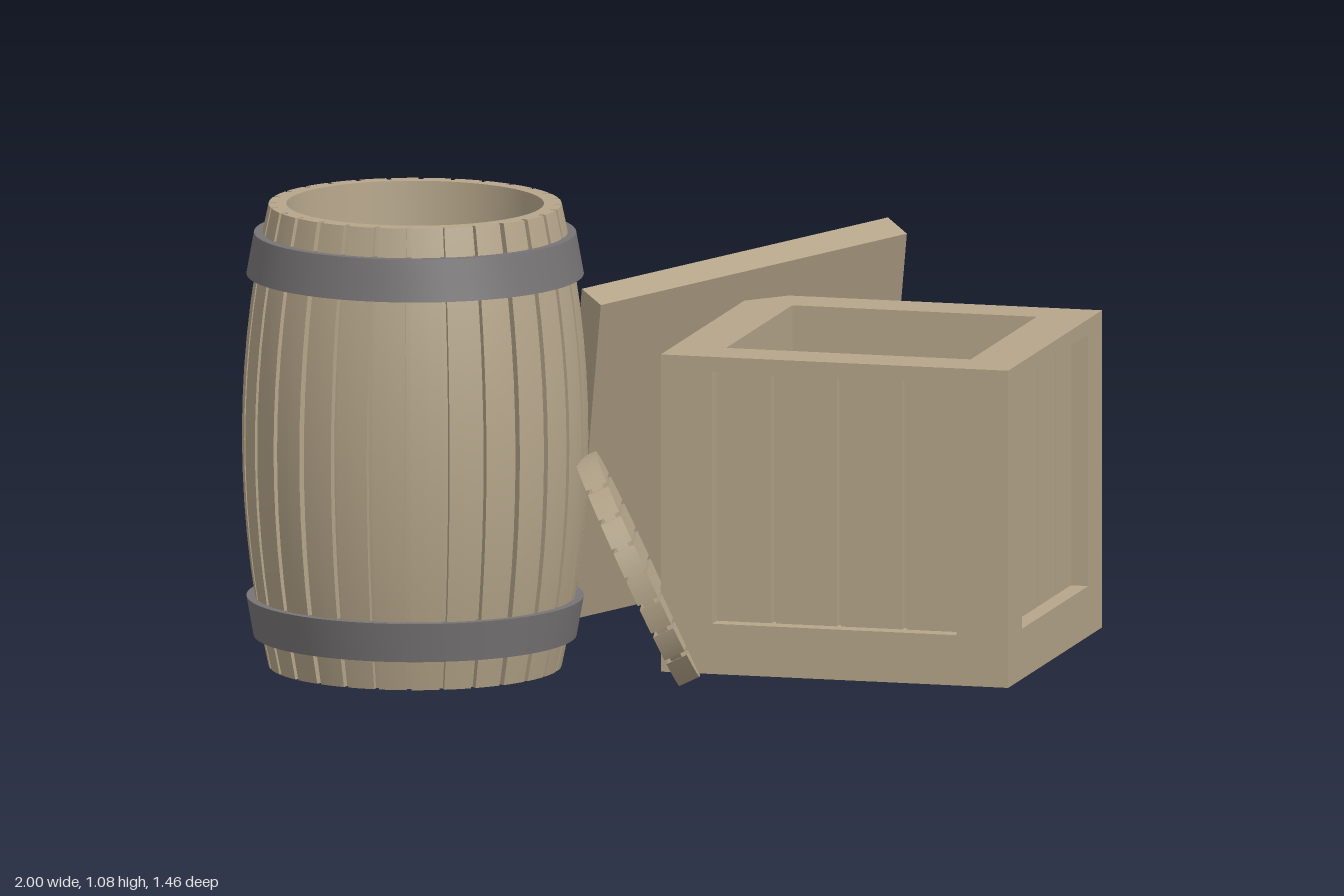
import * as THREE from 'three';
import { toCreasedNormals } from 'three/addons/utils/BufferGeometryUtils.js';

const wood = new THREE.MeshStandardMaterial({ color: 0xb5a58a });
wood.name = 'weathered wood';
const iron = new THREE.MeshStandardMaterial({ color: 0x777475 });
iron.name = 'grey iron';

function add(parent, name, geometry, material = wood, x = 0, y = 0, z = 0) {
  const mesh = new THREE.Mesh(geometry, material);
  mesh.name = name;
  mesh.position.set(x, y, z);
  parent.add(mesh);
  return mesh;
}

function box(parent, name, w, h, d, x, y, z) {
  return add(parent, name, new THREE.BoxGeometry(w, h, d), wood, x, y, z);
}

function part(parent, name) {
  const group = new THREE.Group();
  group.name = name;
  parent.add(group);
  return group;
}

// Closed lathe ring with sharp edges; points run anticlockwise in (radius, y)
function ring(points) {
  const profile = [...points, points[0]].map(([r, y]) => new THREE.Vector2(r, y));
  return toCreasedNormals(new THREE.LatheGeometry(profile, 84), 0.6);
}

// Orient a group by its own axes
function orient(group, xAxis, zAxis) {
  const z = new THREE.Vector3(...zAxis).normalize();
  const y = new THREE.Vector3().crossVectors(z, new THREE.Vector3(...xAxis)).normalize();
  const x = new THREE.Vector3().crossVectors(y, z);
  group.quaternion.setFromRotationMatrix(new THREE.Matrix4().makeBasis(x, y, z));
}

// ---- Barrel ----
const LOW = 0.03, HIGH = 1.085, MID = (LOW + HIGH) / 2, HALF = (HIGH - LOW) / 2;
const bulge = (y) => 0.39 - 0.06 * ((y - MID) / HALF) ** 2;

function buildBarrel(root) {
  const barrel = part(root, 'barrel');
  barrel.position.set(-0.608, 0, 0.193);

  // Inner wall, open through the middle
  const wall = [[0.24, LOW]];
  for (let i = 0; i <= 12; i++) {
    const y = LOW + (HIGH - LOW) * i / 12;
    wall.push([bulge(y) - 0.016, y]);
  }
  wall.push([0.29, HIGH]);
  add(barrel, 'barrelWall', ring(wall));

  // Staves: boxes bent round the bulging profile
  const count = 28, step = Math.PI * 2 / count;
  for (let i = 0; i < count; i++) {
    const g = new THREE.BoxGeometry(step - 0.035, HIGH - LOW, 0.025, 3, 14, 1);
    const p = g.attributes.position;
    for (let k = 0; k < p.count; k++) {
      const y = p.getY(k) + MID;
      const r = bulge(y) + p.getZ(k) - 0.0125;
      p.setXYZ(k, r * Math.sin(p.getX(k)), y, r * Math.cos(p.getX(k)));
    }
    g.computeVertexNormals();
    add(barrel, 'stave', g).rotation.y = (i + 0.5) * step;
  }

  // Iron hoops
  for (const [a, b] of [[0.1, 0.19], [0.925, 1.02]]) {
    add(barrel, 'hoop', ring([
      [bulge(a) - 0.01, a], [bulge(a) + 0.019, a],
      [bulge(b) + 0.019, b], [bulge(b) - 0.01, b],
    ]), iron);
  }
}

// ---- Round barrel lid, leaning on the crate ----
function buildBarrelLid(root) {
  const lid = part(root, 'barrelLid');
  lid.position.set(-0.133, 0.267, 0.378);
  orient(lid, [0.195, -0.117, -0.974], [0.9, 0.42, 0.13]);

  const R = 0.28, T = 0.05, planks = 8, w = 2 * R / planks;
  const core = new THREE.CylinderGeometry(R - 0.012, R - 0.012, T - 0.024, 48);
  core.rotateX(Math.PI / 2);
  add(lid, 'lidCore', core);

  for (let i = 0; i < planks; i++) {
    // Slice of the disc between two chords
    const y0 = -R + i * w + (i ? 0.005 : 0);
    const y1 = -R + (i + 1) * w - (i < planks - 1 ? 0.005 : 0);
    const a0 = Math.asin(y0 / R), a1 = Math.asin(y1 / R), pts = [];
    for (let k = 0; k <= 8; k++) {
      const a = a0 + (a1 - a0) * k / 8;
      pts.push(new THREE.Vector2(R * Math.cos(a), R * Math.sin(a)));
    }
    const left = pts.map((p) => new THREE.Vector2(-p.x, p.y)).reverse();
    const outline = [...pts, ...left].filter((p, k, all) => k === 0 || p.distanceTo(all[k - 1]) > 1e-5);
    if (outline[0].distanceTo(outline[outline.length - 1]) < 1e-5) outline.pop();
    const g = new THREE.ExtrudeGeometry(new THREE.Shape(outline), { depth: T, bevelEnabled: false });
    g.translate(0, 0, -T / 2);
    add(lid, 'lidPlank', g);
  }
}

// ---- Crate ----
const SIZE = 0.81, FRAME = 0.12, INNER = SIZE - 2 * FRAME, RECESS = 0.04;

// Four upright planks on a backing board; the front lies at z = 0
function plankPanel(parent, name, height, depth) {
  const panel = part(parent, name);
  const skin = Math.min(0.02, depth / 2);
  box(panel, 'backing', INNER, height, depth - skin, 0, 0, -skin - (depth - skin) / 2);
  const cuts = [-INNER / 2 - 0.005, -0.1525, 0, 0.1525, INNER / 2 + 0.005];
  for (let i = 0; i < 4; i++) {
    const a = cuts[i] + 0.005, b = cuts[i + 1] - 0.005;
    box(panel, 'plank', b - a, height, skin, (a + b) / 2, 0, -skin / 2);
  }
  return panel;
}

function buildCrate(root) {
  const crate = part(root, 'crate');
  crate.position.set(0.46, 0.03, 0.19);
  crate.rotation.y = -0.447;

  const H = 0.725, bottom = 0.115, top = 0.035;
  const panelH = H - bottom - top, edge = SIZE / 2, mid = edge - FRAME / 2;

  for (let i = 0; i < 4; i++) {
    const side = part(crate, 'crateSide');
    side.rotation.y = i * Math.PI / 2;
    box(side, 'cornerPost', FRAME, H, FRAME, mid, H / 2, mid);
    box(side, 'bottomRail', INNER, bottom, FRAME, 0, bottom / 2, mid);
    box(side, 'topRail', INNER, top, FRAME, 0, H - top / 2, mid);
    plankPanel(side, 'sidePanel', panelH, FRAME - RECESS)
      .position.set(0, bottom + panelH / 2, edge - RECESS);
  }
  const floor = plankPanel(crate, 'floorPanel', INNER, bottom - RECESS);
  floor.rotation.set(Math.PI / 2, 0, Math.PI / 2);
  floor.position.y = RECESS;
}

// ---- Square crate lid, propped against the back corner ----
function buildCrateLid(root) {
  const lid = part(root, 'crateLid');
  lid.position.set(0.229, 0.46, -0.421);
  orient(lid, [0.755, 0.09, -0.285], [0.369, -0.315, 0.879]);

  const T = 0.082, mid = SIZE / 2 - FRAME / 2;
  for (const s of [-1, 1]) {
    box(lid, 'lidStile', FRAME, SIZE, T, s * mid, 0, 0);
    box(lid, 'lidRail', INNER, FRAME, T, 0, s * mid, 0);
  }
  const panel = plankPanel(lid, 'lidPanel', INNER, T - RECESS);
  panel.rotation.y = Math.PI;
  panel.position.z = -T / 2 + RECESS;
}

export function createModel() {
  const root = new THREE.Group();
  root.name = 'barrelAndCrate';
  buildBarrel(root);
  buildBarrelLid(root);
  buildCrate(root);
  buildCrateLid(root);
  return root;
}
